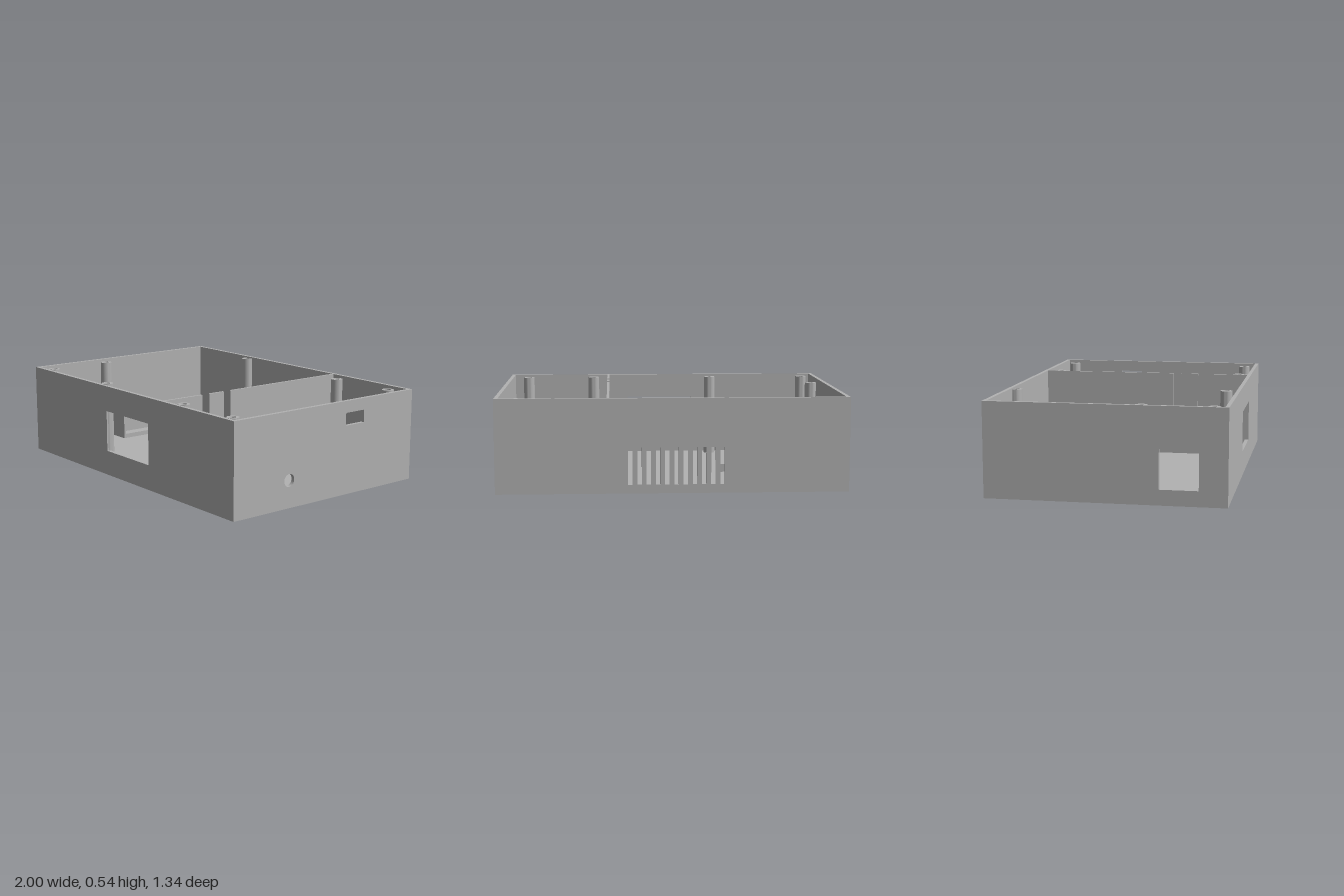
import * as THREE from 'three';
import { toCreasedNormals } from 'three/addons/utils/BufferGeometryUtils.js';

const W = 1, D = 0.672, H = 0.54, T = 0.022, FLOOR = 0.022;

const rectPoints = (x0, y0, x1, y1) => [[x0, y0], [x1, y0], [x1, y1], [x0, y1]].map(p => new THREE.Vector2(...p));
const rect = (...r) => new THREE.Shape(rectPoints(...r));
const rectHole = (...r) => new THREE.Path(rectPoints(...r));
const roundHole = (x, y, r) => new THREE.Path().absarc(x, y, r, 0, Math.PI * 2, true);

export function createModel() {
  const model = new THREE.Group();
  model.name = 'enclosureBase';
  const grey = new THREE.MeshStandardMaterial({ color: 0xb2b2b2 });
  grey.name = 'grey plastic';

  const add = (name, geometry, x = 0, y = 0, z = 0) => {
    const mesh = new THREE.Mesh(geometry, grey);
    mesh.name = name;
    mesh.position.set(x, y, z);
    model.add(mesh);
    return mesh;
  };
  const extrude = (shape, holes, depth) => {
    shape.holes.push(...holes);
    return new THREE.ExtrudeGeometry(shape, { depth, bevelEnabled: false, curveSegments: 24 });
  };
  // Panel drawn in x-y, growing towards +z from z
  const panelZ = (name, shape, holes, depth, z) => add(name, extrude(shape, holes, depth), 0, 0, z);
  // Panel drawn in z-y, growing towards -x from x
  const panelX = (name, shape, holes, depth, x) => {
    add(name, extrude(shape, holes, depth), x).rotation.y = -Math.PI / 2;
  };
  // Box given by its limits
  const box = (name, x0, x1, y0, y1, z0, z1) =>
    add(name, new THREE.BoxGeometry(x1 - x0, y1 - y0, z1 - z0), (x0 + x1) / 2, (y0 + y1) / 2, (z0 + z1) / 2);

  // Floor in two layers, with shallow round foot recesses underneath
  const recesses = [];
  for (const x of [-0.9, 0.9]) for (const z of [-0.57, 0.57]) recesses.push(roundHole(x, z, 0.058));
  add('floorUnderside', extrude(rect(-W, -D, W, D), recesses, 0.01), 0, 0.01, 0).rotation.x = Math.PI / 2;
  box('floor', -W, W, 0.01, FLOOR, -D, D);

  // Front wall: window, with taller grooves beside it on the inside
  const inner = 0.012;
  const windowEdge = [[-0.215, 0.12], [-0.185, 0.12], [-0.185, 0.147], [0.238, 0.147], [0.238, 0.12], [0.268, 0.12],
    [0.268, 0.41], [0.238, 0.41], [0.238, 0.39], [-0.185, 0.39], [-0.185, 0.41], [-0.215, 0.41]];
  panelZ('frontWallOuter', rect(-W, FLOOR, W, H), [rectHole(-0.185, 0.147, 0.238, 0.39)], T - inner, D - T + inner);
  panelZ('frontWallInner', rect(-W, FLOOR, W, H),
    [new THREE.Path(windowEdge.map(p => new THREE.Vector2(...p)))], inner, D - T);

  // Back wall with a row of vent slots
  const vents = [];
  for (let i = 0; i < 11; i++) {
    const x = -0.279 + i * 0.052;
    vents.push(rectHole(x - 0.0125, 0.05, x + 0.0125, 0.262));
  }
  panelZ('backWall', rect(-W, FLOOR, W, H), vents, T, -D);

  // Side walls with connector openings
  const side = () => rect(-D + T, FLOOR, D - T, H);
  panelX('leftWall', side(), [rectHole(-0.278, 0.399, -0.137, 0.472), roundHole(0.283, 0.157, 0.036)], T, W);
  panelX('rightWall', side(), [rectHole(0.3, 0.087, 0.515, 0.307)], T, -W + T);

  // Divider with two cable slots, open at the top and rounded at the bottom
  const divider = new THREE.Shape();
  divider.moveTo(-D + T, FLOOR);
  divider.lineTo(D - T, FLOOR);
  divider.lineTo(D - T, H);
  const slotR = 0.025;
  for (const z of [0.36, 0.203]) {
    divider.lineTo(z + slotR, H);
    divider.lineTo(z + slotR, 0.09 + slotR);
    divider.absarc(z, 0.09 + slotR, slotR, 0, Math.PI, true);
    divider.lineTo(z - slotR, H);
  }
  divider.lineTo(-D + T, H);
  panelX('divider', divider, [], 0.014, 0.371);

  // Screw posts with blind holes
  const post = (name, x, z, r, hole, top, depth) => {
    const h = top - FLOOR;
    const profile = [[r, 0], [r, h], [hole, h], [hole, h - depth], [0, h - depth]].map(p => new THREE.Vector2(...p));
    add(name, toCreasedNormals(new THREE.LatheGeometry(profile, 32), 0.6), x, FLOOR, z);
  };
  for (const [x, z] of [[-0.445, -0.635], [0.46, -0.59], [0.885, -0.59], [-0.915, 0.19],
    [-0.915, 0.585], [-0.305, 0.585], [0.46, 0.585], [0.885, 0.585]])
    post('screwPost', x, z, 0.035, 0.018, 0.53, 0.15);
  for (const x of [0.48, 0.593]) for (const z of [0.367, 0.455])
    post('boardStandoff', x, z, 0.025, 0.013, 0.075, 0.045);

  // Pair of C-shaped floor brackets
  for (const [outer, s] of [[-0.39, 1], [0.352, -1]]) {
    const span = (a, b) => [outer + s * a, outer + s * b].sort((p, q) => p - q);
    box('bracketSide', ...span(0, 0.016), FLOOR, 0.06, -0.605, -0.13);
    for (const z of [-0.605, -0.146]) box('bracketArm', ...span(0, 0.086), FLOOR, 0.07, z, z + 0.016);
  }

  // Module bay against the right wall: tall ends, low front lip
  box('bayLip', -0.822, -0.81, FLOOR, 0.05, -0.275, 0.125);
  for (const z of [-0.275, 0.113]) box('bayEnd', -W + T, -0.81, FLOOR, 0.193, z, z + 0.012);

  return model;
}
